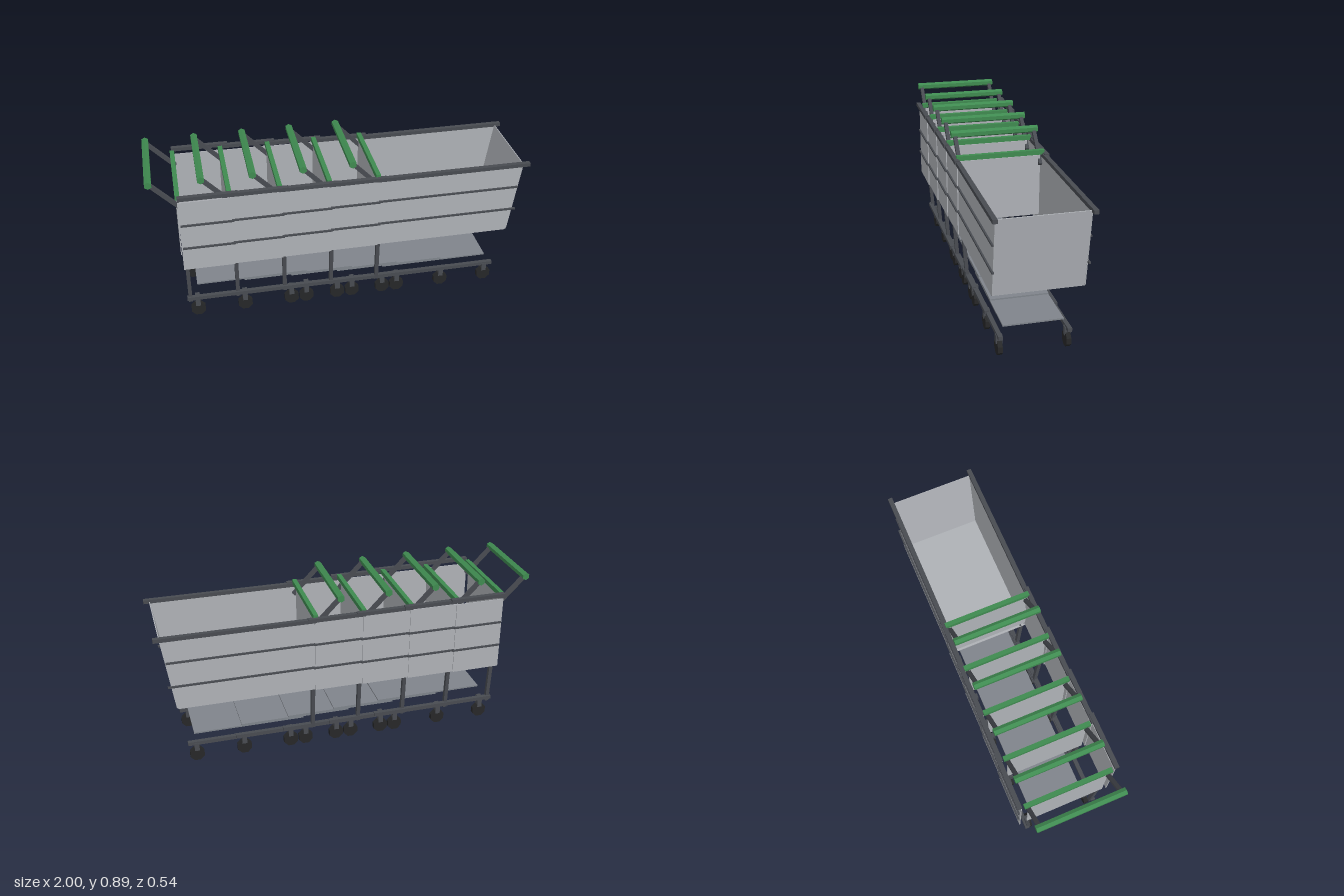
import * as THREE from 'three';

const mat = (name, color) => {
  const m = new THREE.MeshStandardMaterial({ color, flatShading: true });
  m.name = name;
  return m;
};

export function createModel() {
  const panel = mat('light grey panel', 0xaeb1b6);
  const shelf = mat('mid grey shelf', 0x7f848b);
  const frame = mat('dark grey frame', 0x484b51);
  const grip = mat('green grip', 0x3f8a50);
  const tyre = mat('black tyre', 0x262728);

  const add = (parent, name, geo, material, x = 0, y = 0, z = 0) => {
    const m = new THREE.Mesh(geo, material);
    m.name = name;
    m.position.set(x, y, z);
    parent.add(m);
    return m;
  };
  // Box given by its x range and its centre in y and z
  const bar = (parent, name, material, x0, x1, y, z, h, d) =>
    add(parent, name, new THREE.BoxGeometry(x1 - x0, h, d), material, (x0 + x1) / 2, y, z);
  // Square tube between two points
  const beam = (parent, name, material, a, b, w, d = w) => {
    const p = new THREE.Vector3(...a), q = new THREE.Vector3(...b);
    const m = add(parent, name, new THREE.BoxGeometry(w, d, p.distanceTo(q)), material);
    m.position.copy(p).add(q).multiplyScalar(0.5);
    m.lookAt(q);
    return m;
  };

  // One cart; i = 0 is the rearmost, i = 4 the complete one at the head of the row
  function cart(i) {
    const g = new THREE.Group();
    g.name = 'cart' + (i + 1);
    const x = -0.85 + i * 0.256;
    const n = 4 - i;                       // steps outward and upward
    const head = i === 4;
    const wallZ = 0.2245 + n * 0.0065;
    const rimY = 0.769 + n * 0.0065;
    const railY = 0.107 + n * 0.006;
    const railZ = 0.173 + n * 0.0065;
    const reach = head ? 0.794 : 0.275;

    for (const s of [1, -1]) {
      // Basket side
      if (head) {
        const side = new THREE.Shape([
          [x + 0.005, 0.36], [0.902, 0.36], [0.913, 0.37], [0.97, 0.767], [x + 0.005, 0.767],
        ].map(p => new THREE.Vector2(...p)));
        const geo = new THREE.ExtrudeGeometry(side, { depth: 0.005, bevelEnabled: false });
        add(g, 'basketSide', geo, panel, 0, 0, s * wallZ - 0.0025);
      } else {
        bar(g, 'basketSide', panel, x, x + 0.265, 0.5635, s * wallZ, 0.407, 0.005);
      }
      // Rim and side wires
      bar(g, 'rim', frame, x, x + (head ? 0.826 : 0.302), rimY, s * (wallZ + 0.0085), 0.02, 0.024);
      for (const y of [0.495, 0.632])
        bar(g, 'sideWire', frame, x + 0.005, x + reach - (head ? 0.02 : 0), y, s * (wallZ + 0.006), 0.009, 0.011);
      // Handle arm, leg and chassis rail
      beam(g, 'handleArm', frame, [x + 0.015, 0.72, s * 0.214], [x - 0.13, 0.87, s * 0.214], 0.02);
      beam(g, 'leg', frame, [x + 0.017, 0.105, s * 0.187], [x + 0.017, 0.365, s * 0.206], 0.02);
      bar(g, 'chassisRail', frame, x, x + 0.695, railY, s * railZ, 0.02, 0.022);
      // Casters
      for (const wx of [x + 0.055, x + 0.65]) {
        bar(g, 'casterFork', frame, wx - 0.013, wx + 0.013, (0.062 + railY) / 2, s * 0.172, railY - 0.062, 0.032);
        const w = add(g, 'wheel', new THREE.CylinderGeometry(0.041, 0.041, 0.024, 8), tyre, wx, 0.04, s * 0.172);
        w.rotation.set(Math.PI / 2, Math.PI / 8, 0);
      }
    }

    // Rear flap
    beam(g, 'rearFlap', panel, [x - 0.005, 0.43, 0], [x, 0.767, 0], 0.44, 0.005).name = 'rearFlap';
    const flap = g.getObjectByName('rearFlap');
    flap.geometry = new THREE.BoxGeometry(0.005, 0.337, 0.43);
    flap.rotation.set(0, 0, -0.015);

    // Green handle and rear crossbar
    const h = add(g, 'handle', new THREE.CylinderGeometry(0.02, 0.02, 0.47, 6), grip, x - 0.13, 0.872, 0);
    h.rotation.x = Math.PI / 2;
    bar(g, 'rearCrossbar', grip, x - 0.008, x + 0.016, 0.786, 0, 0.025, 0.47);

    // Lower shelf
    bar(g, 'lowerShelf', shelf, x + 0.06, x + 0.656, 0.152 + n * 0.008, 0, 0.008, 0.306);

    // Floor and sloping front of the head cart
    if (head) {
      bar(g, 'basketFloor', panel, x + 0.005, 0.905, 0.3625, 0, 0.005, 0.449);
      const front = add(g, 'basketFront', new THREE.BoxGeometry(0.005, 0.408, 0.449), panel, 0.938, 0.5655, 0);
      front.rotation.z = -Math.atan2(0.06, 0.4);
    }
    return g;
  }

  const row = new THREE.Group();
  row.name = 'nestedCarts';
  for (let i = 0; i < 5; i++) row.add(cart(i));
  return row;
}
